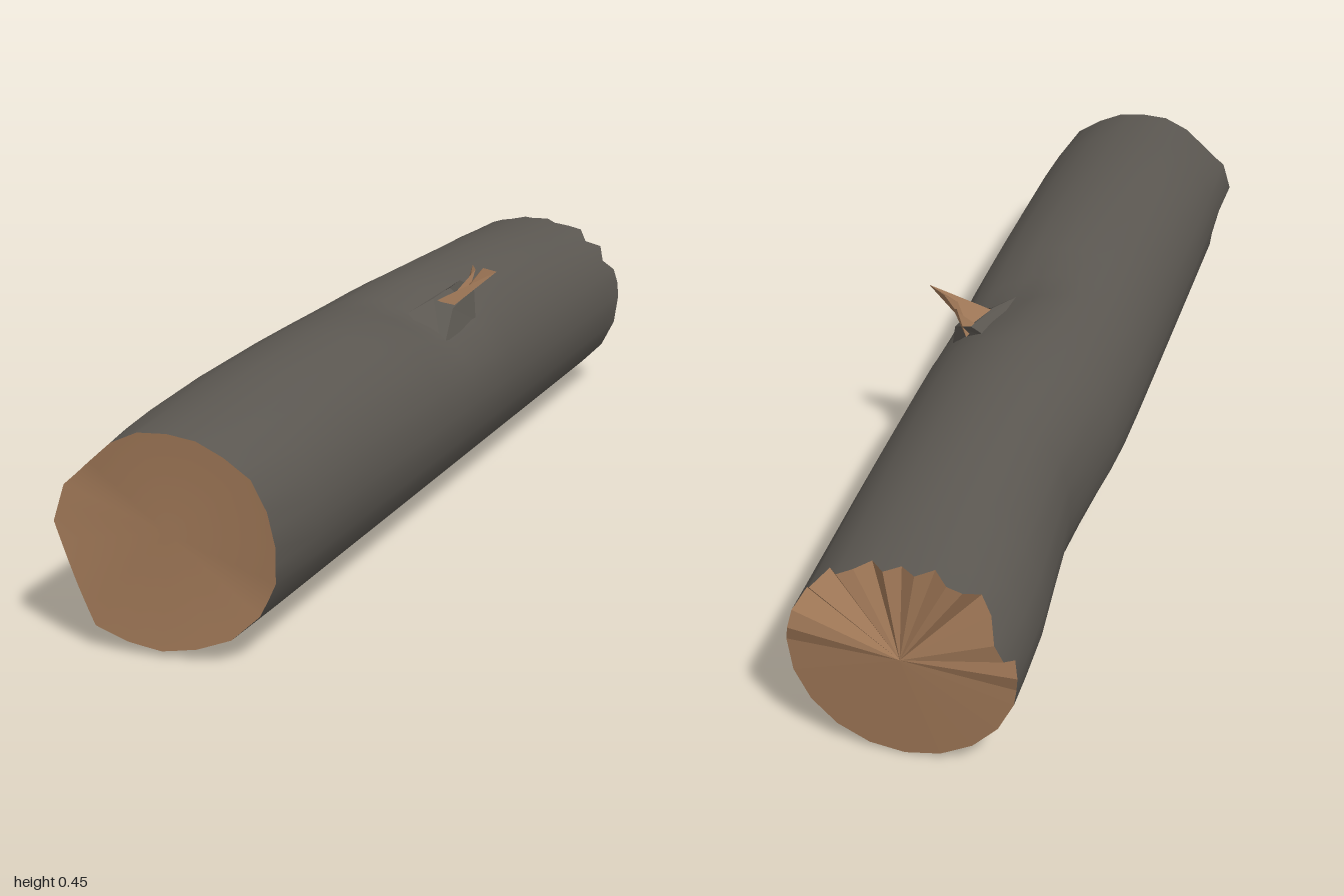
import * as THREE from 'three';

const SIDES = 20, SEG = 40, CY = 0.215;
const rad = THREE.MathUtils.degToRad;

// Soft dents and swellings of the trunk: angle, z, angular width, length, amount
const DENTS = [
  [65, 0.03, 32, 0.13, -0.035],
  [178, -0.45, 45, 0.2, -0.036],
  [90, -0.98, 50, 0.35, -0.034],
  [90, 0.95, 50, 0.3, -0.03],
  [90, 0.07, 20, 0.1, -0.004],
  [255, -0.2, 14, 0.08, 0.005],
];
const FRONT_RADII = [0.197, 0.192, 0.19, 0.178, 0.175, 0.173, 0.178, 0.18, 0.183, 0.205,
  0.21, 0.19, 0.19, 0.21, 0.2, 0.2, 0.2, 0.208, 0.21, 0.207];
// Inward (+) and outward (-) tears of the broken end, over the upper half
const TEARS = [0, -0.01, 0, 0.035, 0, 0.04, 0, 0.01, 0.03, 0, 0.02, 0, 0.03, 0, 0, 0.03, 0,
  -0.045, -0.05, 0, -0.01];

function trunkRadius(deg, z) {
  let r = 0.209;
  for (const [a, dz, wa, wz, amount] of DENTS) {
    const da = ((deg - a + 540) % 360) - 180;
    r += amount * Math.exp(-((da / wa) ** 2) - ((z - dz) / wz) ** 2);
  }
  return r;
}

// One ring: twenty corners, with a midpoint on every side
function ring(radiusAt, zAt) {
  const corner = (k) => {
    const a = rad(k * 360 / SIDES), r = radiusAt(k % SIDES);
    return [r * Math.cos(a), CY + r * Math.sin(a)];
  };
  const points = [];
  for (let j = 0; j < SEG; j++) {
    const p = corner(Math.floor(j / 2)), q = corner(Math.ceil(j / 2));
    points.push([(p[0] + q[0]) / 2, (p[1] + q[1]) / 2, zAt(j)]);
  }
  return points;
}

function geometry(points, index, flat = false) {
  let g = new THREE.BufferGeometry();
  g.setAttribute('position', new THREE.Float32BufferAttribute(points.flat(), 3));
  g.setIndex(index);
  if (flat) g = g.toNonIndexed();
  g.computeVertexNormals();
  return g;
}

// Fan from a centre point to a ring
function cap(points, z, back) {
  const index = [];
  for (let j = 0; j < SEG; j++) {
    const a = j, b = (j + 1) % SEG;
    index.push(SEG, ...(back ? [b, a] : [a, b]));
  }
  return geometry([...points, [0, CY, z]], index, back);
}

export function createModel() {
  const group = new THREE.Group();
  const bark = new THREE.MeshStandardMaterial({ color: 0x5b5751, side: THREE.DoubleSide });
  const wood = new THREE.MeshStandardMaterial({ color: 0x9c7555, side: THREE.DoubleSide });
  bark.name = 'bark';
  wood.name = 'bareWood';
  const add = (name, geo, mat) => {
    const mesh = new THREE.Mesh(geo, mat);
    mesh.name = name;
    group.add(mesh);
  };

  // Trunk rings from the sawn front to the broken back
  const frontRing = ring((k) => FRONT_RADII[k],
    (j) => 0.96 + 0.04 * Math.max(0, Math.cos(rad(j * 9 - 243))));
  const backRing = ring((k) => trunkRadius(k * 18, -0.95), (j) => -0.95 + (TEARS[j] ?? 0));
  const rings = [frontRing];
  for (const z of [0.8, 0.6, 0.35, 0.2, 0.1, 0.02, -0.1, -0.2, -0.32, -0.45, -0.6, -0.75, -0.87]) {
    rings.push(ring((k) => trunkRadius(k * 18, z), () => z));
  }
  rings.push(backRing);
  const index = [];
  for (let i = 0; i < rings.length - 1; i++) {
    for (let j = 0; j < SEG; j++) {
      const a = i * SEG + j, b = i * SEG + (j + 1) % SEG;
      index.push(a, a + SEG, b, b, a + SEG, b + SEG);
    }
  }
  add('trunkBark', geometry(rings.flat(), index), bark);
  add('sawnEnd', cap(frontRing, 0.965, false), wood);
  add('splinteredEnd', cap(backRing, -0.96, true), wood);

  // Torn branch: a leaning bark sleeve with bare splinters
  const sleeve = [
    [0.06, 0.385, 0.03], [0.15, 0.315, 0.07], [0.15, 0.345, -0.12], [0.07, 0.39, -0.15],
    [0.085, 0.4, -0.05], [0.13, 0.385, -0.04], [0.135, 0.405, -0.15], [0.1, 0.415, -0.16],
  ];
  const sleeveIndex = [];
  for (let i = 0; i < 4; i++) {
    const n = (i + 1) % 4;
    sleeveIndex.push(i, n, i + 4, n, n + 4, i + 4);
  }
  add('branchBark', geometry(sleeve, sleeveIndex, true), bark);

  const wedge = [0, 2, 1, 0, 1, 3, 1, 4, 3, 1, 2, 4, 2, 0, 3, 2, 3, 4];
  add('branchSplinter', geometry([
    [0.09, 0.395, -0.05], [0.13, 0.39, -0.05], [0.115, 0.395, -0.13],
    [0.205, 0.457, -0.09], [0.165, 0.455, -0.12],
  ], wedge, true), wood);
  add('smallBranchSplinter', geometry([
    [0.1, 0.39, -0.11], [0.13, 0.39, -0.12], [0.11, 0.39, -0.16],
    [0.138, 0.443, -0.15], [0.128, 0.45, -0.16],
  ], wedge, true), wood);
  return group;
}
